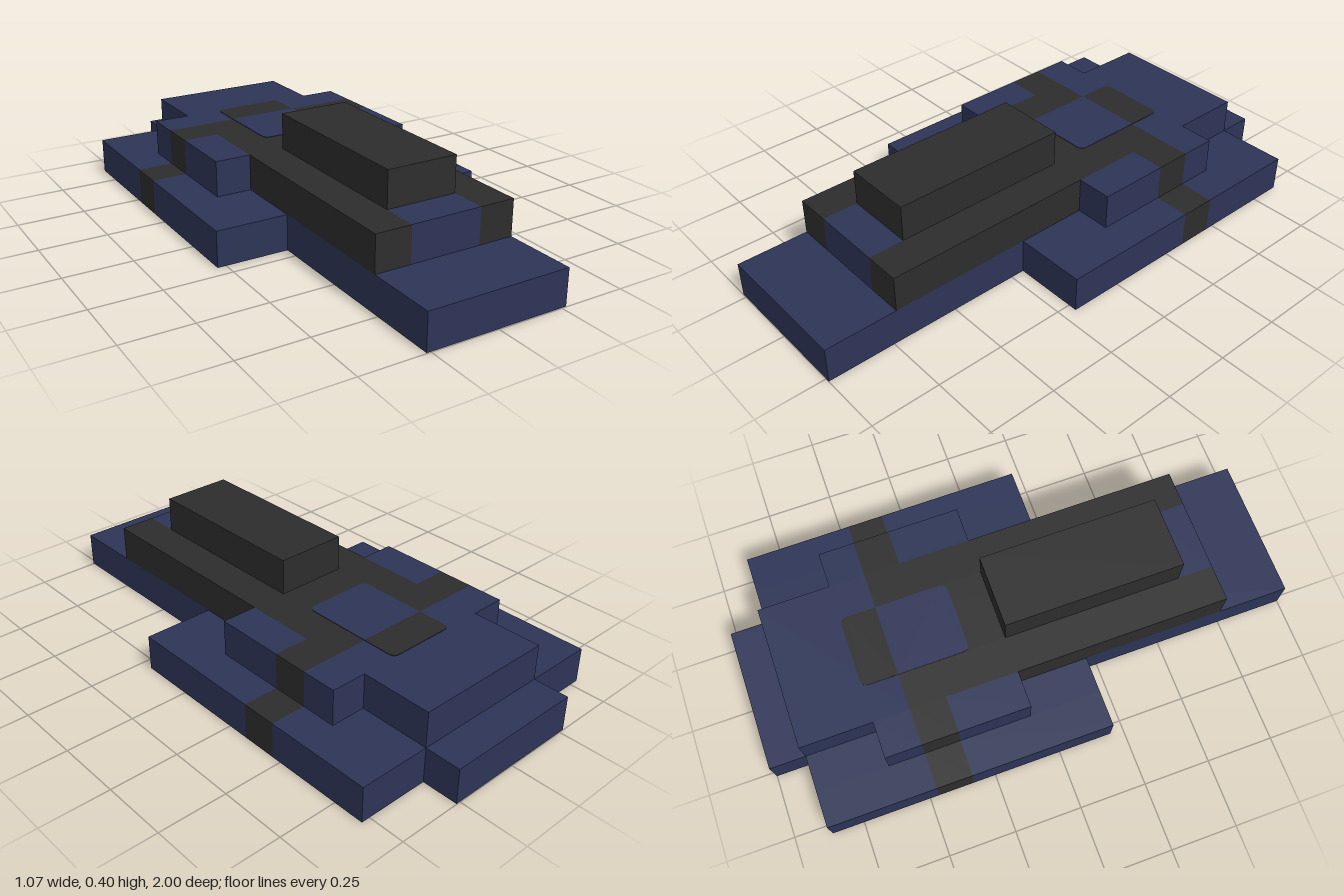
import * as THREE from 'three';

const U = 2 / 15; // one grid block

const mat = (name, color) => {
  const m = new THREE.MeshStandardMaterial({ color });
  m.name = name;
  return m;
};

export function createModel() {
  const navy = mat('navy', 0x2c3456);
  const charcoal = mat('charcoal', 0x2d2d2d);
  const blue = mat('bright blue', 0x0060c0);
  const group = new THREE.Group();
  group.name = 'steppedCraft';

  // Block given by its extents in grid units
  const block = (name, m, x0, x1, y0, y1, z0, z1) => {
    const mesh = new THREE.Mesh(
      new THREE.BoxGeometry((x1 - x0) * U, (y1 - y0) * U, (z1 - z0) * U), m);
    mesh.position.set((x0 + x1) / 2 * U, (y0 + y1) / 2 * U, (z0 + z1) / 2 * U);
    mesh.name = name;
    group.add(mesh);
  };
  const pair = (name, m, x0, x1, ...rest) => {
    block(name + 'Left', m, x0, x1, ...rest);
    block(name + 'Right', m, -x1, -x0, ...rest);
  };

  // Thin horizontal panel; rBack and rFront round its end corners
  const panel = (name, m, hw, z0, z1, y, rBack, rFront) => {
    const s = new THREE.Shape();
    const a = -z1, b = -z0; // shape y is -z
    s.moveTo(-hw + rFront, a);
    s.lineTo(hw - rFront, a);
    s.quadraticCurveTo(hw, a, hw, a + rFront);
    s.lineTo(hw, b - rBack);
    s.quadraticCurveTo(hw, b, hw - rBack, b);
    s.lineTo(-hw + rBack, b);
    s.quadraticCurveTo(-hw, b, -hw, b - rBack);
    s.lineTo(-hw, a + rFront);
    s.quadraticCurveTo(-hw, a, -hw + rFront, a);
    const g = new THREE.ExtrudeGeometry(s, { depth: 0.03, bevelEnabled: false, curveSegments: 5 });
    g.rotateX(-Math.PI / 2).translate(0, y - 0.015, 0).scale(U, U, U);
    const mesh = new THREE.Mesh(g, m);
    mesh.name = name;
    group.add(mesh);
  };

  // Bottom layer: long hull with side wings crossed by a dark band
  block('hull', navy, -2, 2, 0, 1, -7.5, 7.5);
  pair('wingInner', navy, 2, 3, 0, 1, -6.5, 1.5);
  pair('wingRear', navy, 3, 4, 0, 1, -6.5, -3.5);
  pair('wingBand', charcoal, 3, 4, 0, 1, -3.5, -2.5);
  pair('wingFront', navy, 3, 4, 0, 1, -2.5, 1.5);

  // Middle layer: rear deck, shoulders, cross band and forward rails
  block('rearDeck', navy, -2, 2, 1, 2, -6.5, -3.5);
  pair('shoulderRear', navy, 2, 3, 1, 2, -4.5, -3.5);
  pair('shoulderBand', charcoal, 2, 3, 1, 2, -3.5, -2.5);
  pair('shoulderFront', navy, 2, 3, 1, 2, -2.5, -0.5);
  pair('rail', charcoal, 1, 2, 1, 2, -3.5, 5.5);
  block('centreDeck', charcoal, -1, 1, 1, 2, -3.5, 4.5);
  block('noseBlock', navy, -1, 1, 1, 2, 4.5, 5.5);

  // Top layer
  block('topBlock', charcoal, -1, 1, 2, 3, -0.5, 4.5);

  // Painted panels on the deck and the underside
  panel('rearHatch', charcoal, 1, -4.5, -3.5, 2, 0.2, 0);
  panel('centreHatch', navy, 1, -3.5, -1.5, 2, 0, 0.2);
  panel('underPanelRear', blue, 1, -4.5, -3.5, 0, 0.22, 0.22);
  panel('underPanelFront', blue, 1, 2.5, 3.5, 0, 0.22, 0.22);

  return group;
}
